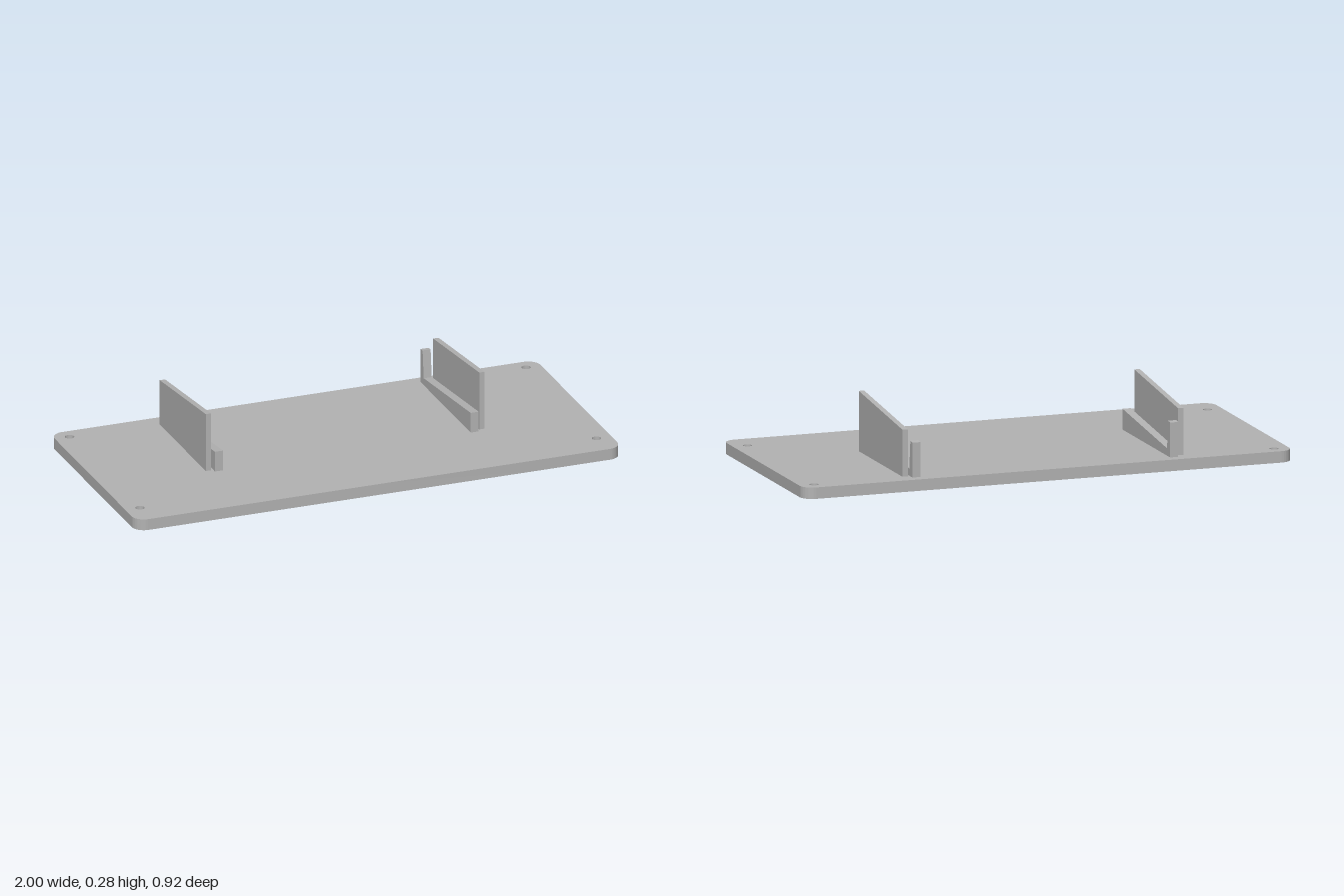
import * as THREE from 'three';
import { toCreasedNormals } from 'three/addons/utils/BufferGeometryUtils.js';

const THICK = 0.045, HOLE = 0.018, SINK = 0.03, SINK_DEPTH = 0.018;
const HOLES = [[-0.94, -0.404], [0.94, -0.404], [-0.94, 0.342], [0.94, 0.342]];

// Rounded rectangle, optionally pierced by the screw holes
function plateShape(radius, zSign) {
  const w = 1, d = 0.458, r = 0.05;
  const s = new THREE.Shape();
  s.absarc(w - r, d - r, r, 0, Math.PI / 2);
  s.absarc(-w + r, d - r, r, Math.PI / 2, Math.PI);
  s.absarc(-w + r, -d + r, r, Math.PI, Math.PI * 1.5);
  s.absarc(w - r, -d + r, r, Math.PI * 1.5, Math.PI * 2);
  if (radius) {
    for (const [x, z] of HOLES) {
      s.holes.push(new THREE.Path().absarc(x, z * zSign, radius, 0, Math.PI * 2, true));
    }
  }
  return s;
}

// Side profile in (z, y), extruded across x from x0 to x1
function slab(points, x0, x1) {
  const shape = new THREE.Shape(points.map(([z, y]) => new THREE.Vector2(z, y)));
  const g = new THREE.ExtrudeGeometry(shape, { depth: x1 - x0, bevelEnabled: false });
  return g.rotateY(-Math.PI / 2).translate(x1, 0, 0);
}

export function createModel() {
  const model = new THREE.Group();
  model.name = 'mountingBracket';
  const grey = new THREE.MeshStandardMaterial({ color: 0xb3b3b3 });
  grey.name = 'plain grey';
  const add = (parent, name, geometry) => {
    const mesh = new THREE.Mesh(geometry, grey);
    mesh.name = name;
    parent.add(mesh);
    return mesh;
  };

  // Base plate: top face, underside and rounded rim
  const plate = new THREE.Group();
  plate.name = 'basePlate';
  model.add(plate);
  add(plate, 'plateTop', new THREE.ShapeGeometry(plateShape(HOLE, -1), 24)
    .rotateX(-Math.PI / 2).translate(0, THICK, 0));
  add(plate, 'plateUnderside', new THREE.ShapeGeometry(plateShape(SINK, 1), 24)
    .rotateX(Math.PI / 2));
  const solid = new THREE.ExtrudeGeometry(plateShape(0, 1),
    { depth: THICK, bevelEnabled: false, curveSegments: 24 });
  const { start, count } = solid.groups[1]; // keep the side walls only
  const rim = new THREE.BufferGeometry();
  rim.setAttribute('position', new THREE.BufferAttribute(
    solid.attributes.position.array.slice(start * 3, (start + count) * 3), 3));
  rim.rotateX(-Math.PI / 2);
  add(plate, 'plateRim', toCreasedNormals(rim, 0.6));

  // Screw holes, countersunk from below
  const bore = toCreasedNormals(new THREE.LatheGeometry([
    new THREE.Vector2(HOLE, THICK),
    new THREE.Vector2(HOLE, SINK_DEPTH),
    new THREE.Vector2(SINK, 0),
  ], 48), 0.4);
  for (const [x, z] of HOLES) add(plate, 'screwHole', bore).position.set(x, 0, z);

  // Mirrored supports: a tilted rail with a rear stop, and a guide wall outside it
  const railProfile = [
    [-0.418, THICK], [0.115, THICK], [0.115, 0.127], [-0.383, 0.074],
    [-0.395, 0.185], [-0.418, 0.182],
  ];
  const wallProfile = [[-0.391, THICK], [0.098, THICK], [0.098, 0.282], [-0.391, 0.23]];
  for (const side of [1, -1]) {
    const support = new THREE.Group();
    support.name = side > 0 ? 'leftSupport' : 'rightSupport';
    model.add(support);
    const span = (a, b) => (side > 0 ? [a, b] : [-b, -a]);
    add(support, 'tiltedRail', slab(railProfile, ...span(0.51, 0.543)));
    add(support, 'guideWall', slab(wallProfile, ...span(0.552, 0.574)));
  }
  return model;
}
